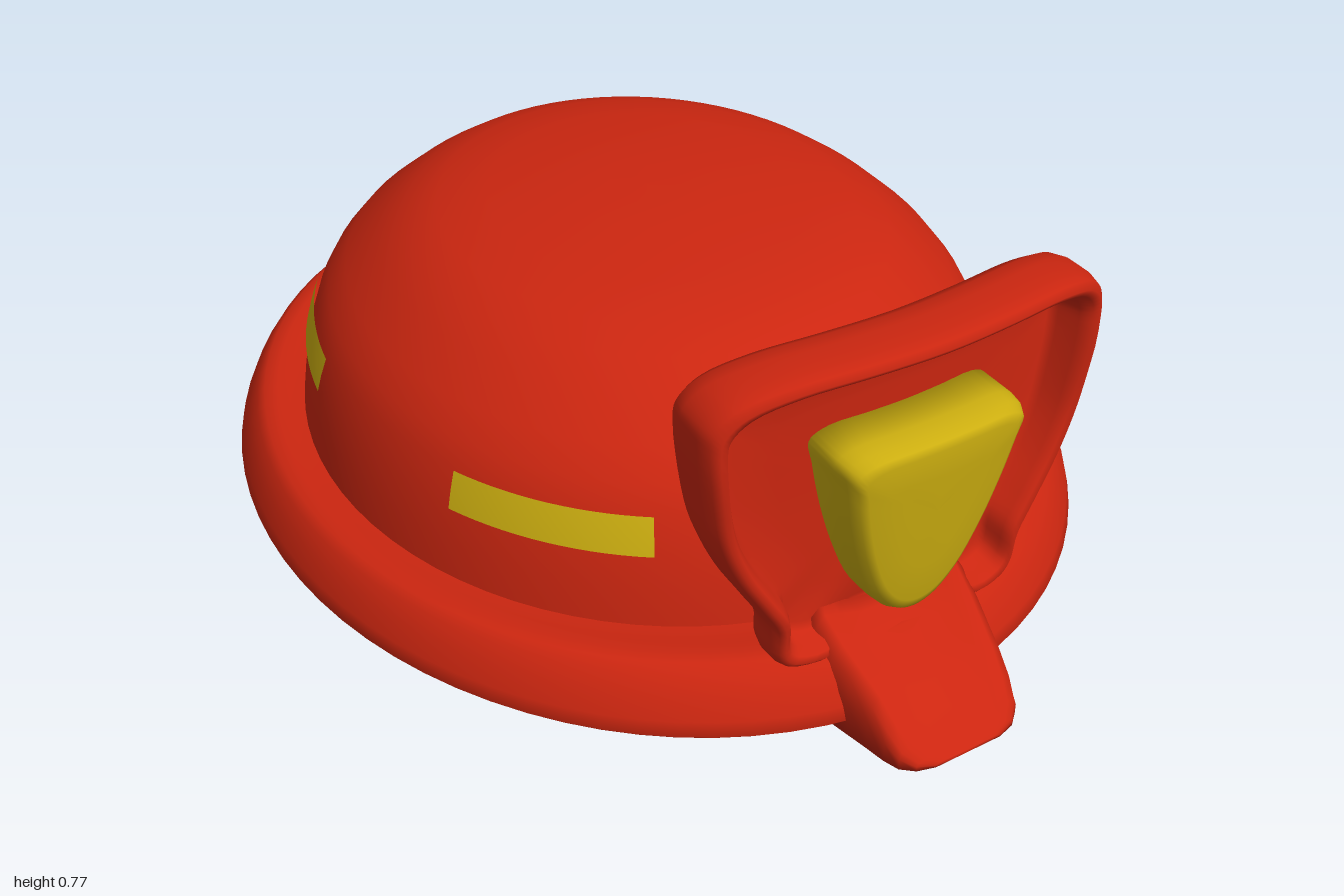
import * as THREE from 'three';

const red = new THREE.MeshStandardMaterial({ color: 0xcc2610 });
red.name = 'helmetRed';
const yellow = new THREE.MeshStandardMaterial({ color: 0xccae10 });
yellow.name = 'trimYellow';

const CENTRE_Z = -0.065;
const V2 = (p) => new THREE.Vector2(p[0], p[1]);

function part(name, geometry, material, parent) {
  const mesh = new THREE.Mesh(geometry, material);
  mesh.name = name;
  parent.add(mesh);
  return mesh;
}

// Skin closed rings of points, listed back to front, counterclockwise seen from +z
function loft(rings) {
  const n = rings[0].length;
  const pos = [], idx = [];
  rings.forEach((ring) => ring.forEach((p) => pos.push(p.x, p.y, p.z)));
  for (let i = 0; i < rings.length - 1; i++) {
    for (let j = 0; j < n; j++) {
      const k = (j + 1) % n;
      const a = i * n + j, b = i * n + k, c = b + n, d = a + n;
      idx.push(a, b, c, a, c, d);
    }
  }
  const g = new THREE.BufferGeometry();
  g.setAttribute('position', new THREE.Float32BufferAttribute(pos, 3));
  g.setIndex(idx);
  g.computeVertexNormals();
  return g;
}

// Smooth symmetric outline from its +x half, listed bottom to top
function outline(half, count) {
  const left = half.filter((p) => p[0] > 0).reverse().map(([x, y]) => [-x, y]);
  const pts = [...half, ...left].map(([x, y]) => new THREE.Vector3(x, y, 0));
  return new THREE.CatmullRomCurve3(pts, true, 'centripetal').getPoints(count).slice(0, -1);
}

// Rings of one outline, each at its own scale and depth; depthAt bends the surface
function dish(points, centreY, layers, depthAt) {
  return loft(layers.map(([scale, depth]) => points.map((p) => {
    const x = p.x * scale, y = centreY + (p.y - centreY) * scale;
    return new THREE.Vector3(x, y, depthAt(x, y, depth));
  })));
}

// Elliptical revolved shell
function oval(name, profile, rx, rz, material, parent, start = 0, length = Math.PI * 2, segments = 80) {
  const mesh = part(name, new THREE.LatheGeometry(profile.map(V2), segments, start, length), material, parent);
  mesh.scale.set(rx, 1, rz);
  mesh.position.z = CENTRE_Z;
  return mesh;
}

export function createModel() {
  const helmet = new THREE.Group();
  helmet.name = 'helmet';

  // Brim with closed underside
  oval('brim', [
    [0, 0.01], [0.5, 0.01], [0.94, 0.01], [0.965, 0.01], [0.985, 0.018], [1, 0.032], [0.992, 0.06],
    [0.972, 0.1], [0.95, 0.13], [0.93, 0.145], [0.9, 0.147], [0.87, 0.142], [0.83, 0.138], [0.8, 0.138],
  ], 0.812, 0.935, red, helmet);

  // Crown
  const crown = [
    [1, 0.13], [0.995, 0.16], [0.985, 0.21], [0.966, 0.28], [0.934, 0.35], [0.9, 0.395], [0.845, 0.445],
    [0.75, 0.505], [0.67, 0.545], [0.58, 0.572], [0.44, 0.594], [0.22, 0.609], [0.1, 0.612], [0, 0.613],
  ];
  oval('crown', crown, 0.682, 0.76, red, helmet);

  // Yellow bands lying on the crown: start and end angle from the front
  const band = [[0.971, 0.28], [0.957, 0.315], [0.939, 0.35]].map(([r, y]) => [r + 0.006, y]);
  const bands = [[33, 65], [101, 136], [158.5, 201.5], [224, 259], [295, 327]];
  bands.forEach(([from, to], i) => {
    const rad = THREE.MathUtils.degToRad;
    oval('reflectiveBand' + (i + 1), band, 0.682, 0.76, yellow, helmet, rad(from), rad(to - from), 14);
  });

  // Curved front shield with a raised rim that fades out above the spout
  const shieldOutline = outline([
    [0, 0.13], [0.15, 0.13], [0.235, 0.138], [0.255, 0.16], [0.262, 0.23], [0.295, 0.29], [0.342, 0.37],
    [0.375, 0.45], [0.392, 0.53], [0.405, 0.66], [0.4, 0.7], [0.365, 0.737], [0.28, 0.764], [0.15, 0.774], [0, 0.775],
  ], 112);
  const shieldDepth = (x, y, depth) => {
    let k = 1 - 0.7 * Math.max(0, 0.6 - y);
    if (y < 0.24) k *= 0.3 + 0.7 * THREE.MathUtils.smoothstep(Math.abs(x), 0.05, 0.18);
    return 0.72 + (depth - 0.72) * k - 0.45 * x * x;
  };
  part('frontShield', dish(shieldOutline, 0.45, [
    [0, 0.7], [0.3, 0.7], [0.6, 0.7], [0.85, 0.702], [0.93, 0.712], [0.98, 0.74], [1, 0.775], [1, 0.825],
    [0.985, 0.852], [0.955, 0.863], [0.92, 0.855], [0.89, 0.83], [0.865, 0.785], [0.83, 0.768],
    [0.6, 0.762], [0.3, 0.76], [0, 0.76],
  ], shieldDepth), red, helmet);

  // Yellow badge on the shield
  const badgeOutline = outline([
    [0, 0.188], [0.04, 0.2], [0.085, 0.25], [0.125, 0.34], [0.155, 0.44], [0.174, 0.53], [0.182, 0.58],
    [0.15, 0.6], [0.07, 0.604], [0, 0.604],
  ], 64);
  part('shieldBadge', dish(badgeOutline, 0.44, [
    [0, 0.74], [1, 0.74], [1, 0.83], [0.98, 0.858], [0.93, 0.877], [0.84, 0.884], [0.5, 0.886], [0, 0.886],
  ], (x, y, depth) => depth - 0.13 * Math.max(0, 0.6 - y) - 0.3 * x * x), yellow, helmet);

  // Spout running from the foot of the shield over the brim: z, half width, height
  const section = [
    [1, 0], [1, 0.55], [0.96, 0.88], [0.84, 1], [0.65, 0.95], [0.4, 0.87], [0, 0.84],
    [-0.4, 0.87], [-0.65, 0.95], [-0.84, 1], [-0.96, 0.88], [-1, 0.55], [-1, 0],
  ];
  const stations = [
    [0.7, 0, 0.1], [0.7, 0.17, 0.215], [0.76, 0.168, 0.195], [0.81, 0.163, 0.162], [0.85, 0.155, 0.138],
    [0.9, 0.145, 0.108], [0.94, 0.138, 0.072], [0.97, 0.128, 0.04], [0.99, 0.105, 0.018], [1, 0.07, 0.007], [1, 0, 0.004],
  ];
  part('spout', loft(stations.map(([z, w, h]) =>
    section.map(([u, v]) => new THREE.Vector3(u * w, 0.002 + v * h, z)))), red, helmet);

  return helmet;
}
